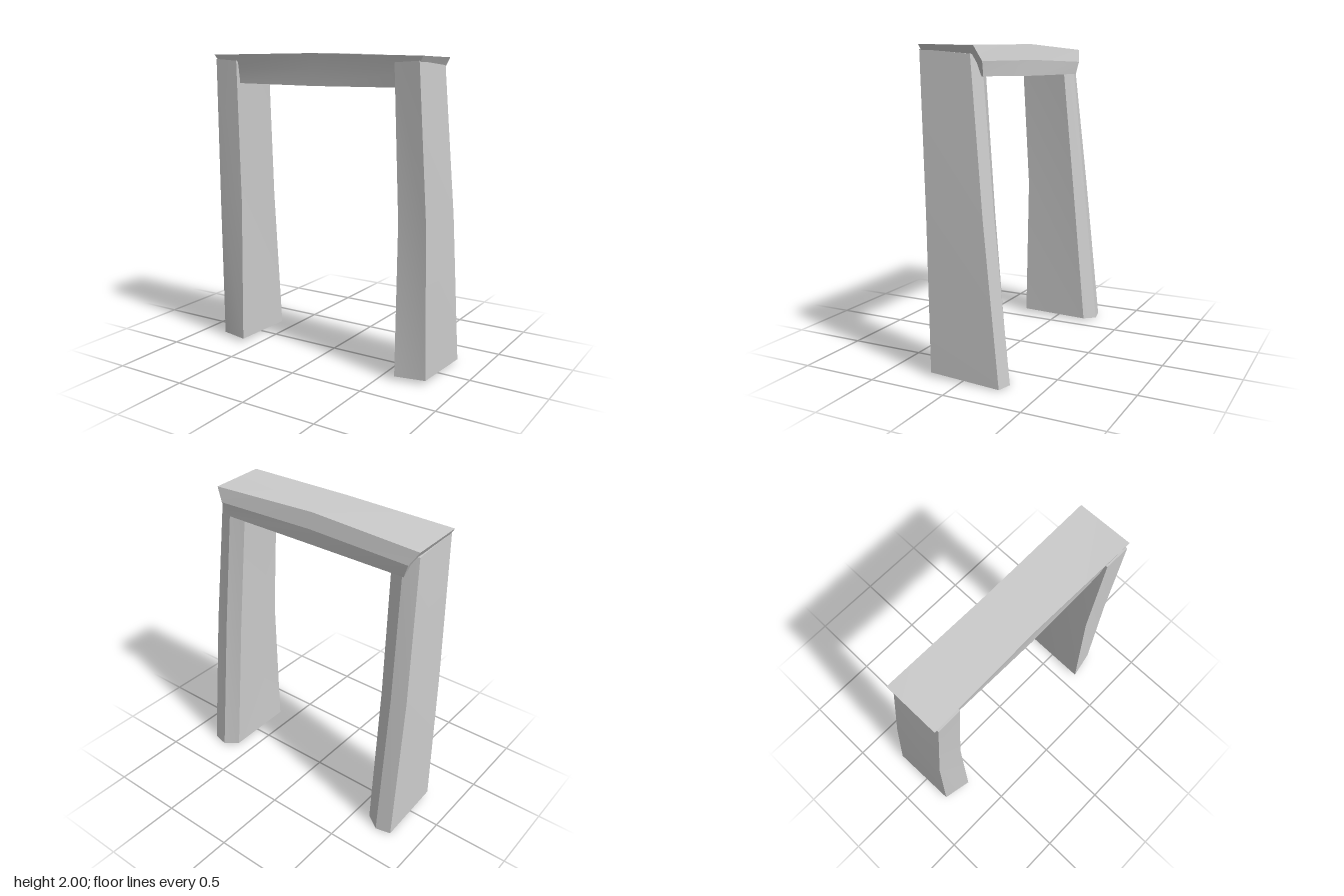
import * as THREE from 'three';
import { toCreasedNormals } from 'three/addons/utils/BufferGeometryUtils.js';

const material = new THREE.MeshStandardMaterial({ color: 0xcccccc });

// Closed loft; each ring runs clockwise seen from the end of the loft
function loft(name, rings) {
  const n = rings[0].length, last = (rings.length - 1) * n, index = [];
  for (let r = 0; r < rings.length - 1; r++) {
    for (let i = 0; i < n; i++) {
      const a = r * n + i, b = r * n + (i + 1) % n;
      index.push(a, a + n, b + n, a, b + n, b);
    }
  }
  for (let i = 1; i < n - 1; i++) {
    index.push(0, i, i + 1, last, last + i + 1, last + i);
  }
  const geometry = new THREE.BufferGeometry();
  geometry.setAttribute('position', new THREE.Float32BufferAttribute(rings.flat(2), 3));
  geometry.setIndex(index);
  const mesh = new THREE.Mesh(toCreasedNormals(geometry, 0.25), material);
  mesh.name = name;
  return mesh;
}

// Leg corners: outer front, inner front, inner back, back ridge, outer back
const legRings = [
  [[0.795, 0.025, 0.21], [0.6, 0.025, 0.25], [0.605, 0.012, -0.22], [0.7, 0, -0.28], [0.803, 0.005, -0.26]],
  [[0.785, 1, 0.23], [0.6, 1, 0.23], [0.593, 1, -0.13], [0.69, 1, -0.175], [0.79, 1, -0.155]],
  [[0.745, 1.96, 0.28], [0.583, 1.95, 0.275], [0.563, 1.93, -0.05], [0.66, 1.93, -0.085], [0.75, 1.93, -0.06]],
];

// Beam profile: front bottom, front middle, front top, back top, back middle, back bottom
const beamEnd = [
  [0.66, 1.805, 0.235], [0.7, 1.9, 0.25], [0.765, 1.988, 0.275],
  [0.765, 1.976, -0.09], [0.71, 1.89, -0.115], [0.68, 1.805, -0.105],
];
const beamCentre = [
  [0, 1.8, 0.245], [0, 1.9, 0.25], [0, 2, 0.265],
  [0, 2, -0.075], [0, 1.9, -0.1], [0, 1.8, -0.095],
];

const mirror = ring => ring.map(([x, y, z]) => [-x, y, z]);

export function createModel() {
  const group = new THREE.Group();
  group.name = 'archway';
  group.add(loft('leftLeg', legRings));
  // Reversing the mirrored rings keeps the faces outward
  group.add(loft('rightLeg', legRings.map(ring => mirror(ring).reverse())));
  group.add(loft('crossBeam', [mirror(beamEnd), beamCentre, beamEnd]));
  return group;
}
